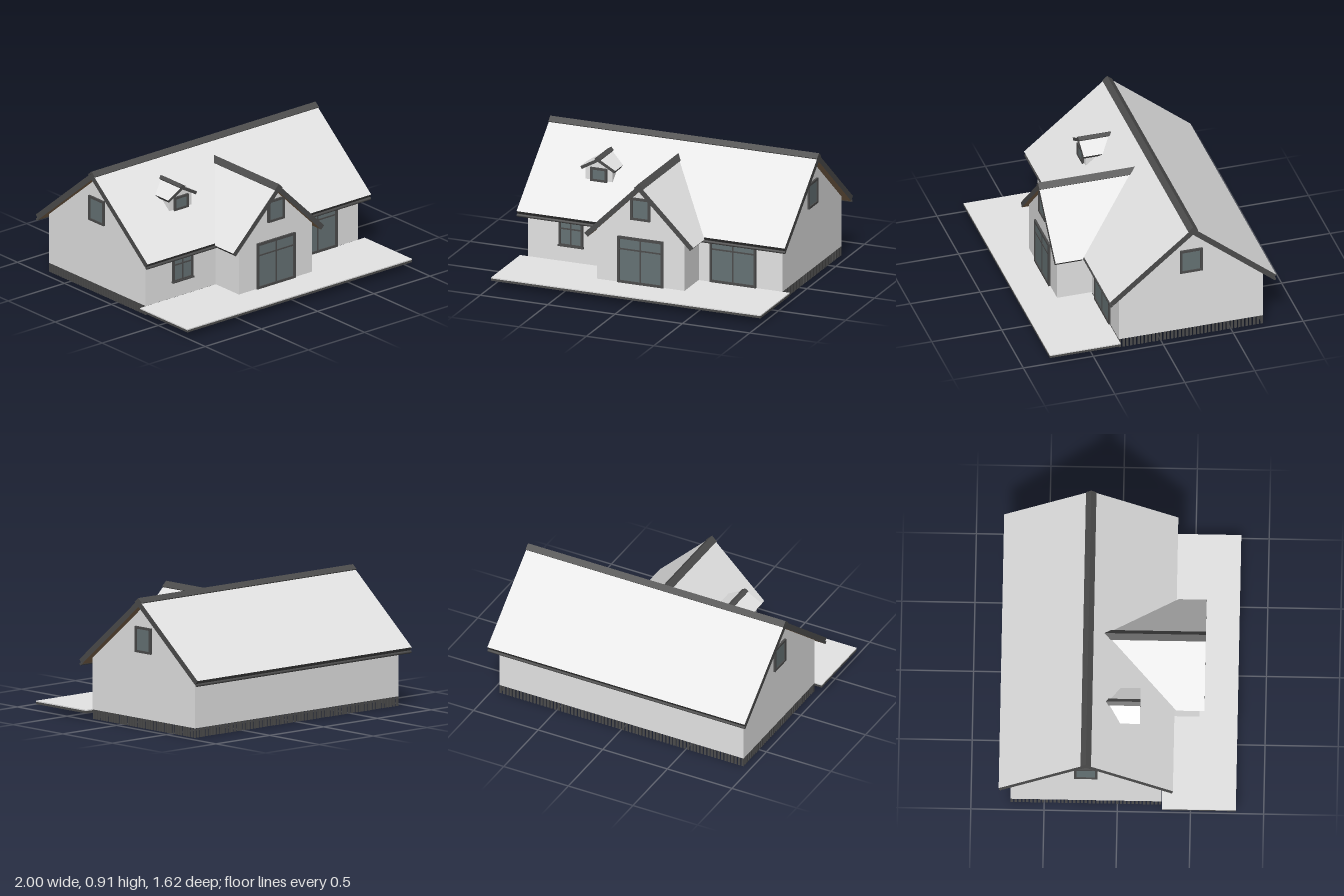
import * as THREE from 'three';
import { mergeGeometries } from 'three/addons/utils/BufferGeometryUtils.js';

const mat = (name, color) => Object.assign(new THREE.MeshStandardMaterial({ color }), { name });

export function createModel() {
  const white = mat('white render', 0xe4e4e4);
  const dark = mat('dark trim', 0x4c4c4c);
  const glass = mat('glass', 0x667375);
  const wood = mat('wood soffit', 0x8f7357);
  const house = new THREE.Group();
  house.name = 'house';

  const add = (parent, name, geo, material, x = 0, y = 0, z = 0) => {
    const m = new THREE.Mesh(geo, material);
    m.name = name;
    m.position.set(x, y, z);
    parent.add(m);
    return m;
  };
  const box = (parent, name, material, w, h, d, x, y, z) =>
    add(parent, name, new THREE.BoxGeometry(w, h, d), material, x, y, z);

  // Sloping slab: a quad given by its top corners, thickened along its normal.
  // Materials: top, edges, underside.
  function slab(name, corners, t, materials) {
    let p = corners.map(c => new THREE.Vector3(...c));
    const normalOf = q => q[1].clone().sub(q[0]).cross(q[2].clone().sub(q[0])).normalize();
    if (normalOf(p).y < 0) p = p.reverse();
    const n = normalOf(p);
    const b = p.map(v => v.clone().addScaledVector(n, -t));
    const faces = [[p[0], p[1], p[2], p[3]]];
    for (let i = 0; i < 4; i++) {
      const j = (i + 1) % 4;
      faces.push([p[i], b[i], b[j], p[j]]);
    }
    faces.push([b[3], b[2], b[1], b[0]]);
    const points = faces.flatMap(([a, c, d, e]) => [a, c, d, a, d, e]);
    const geo = new THREE.BufferGeometry().setFromPoints(points);
    geo.computeVertexNormals();
    geo.addGroup(0, 6, 0);
    geo.addGroup(6, 24, 1);
    geo.addGroup(30, 6, 2);
    return add(house, name, geo, materials);
  }
  const roofMats = [white, dark, wood];
  const capMats = [dark, dark, dark];

  // Main roof measurements
  const ridgeZ = -0.215, ridgeY = 0.9, run = 0.595, eaveY = 0.41;
  const slope = (ridgeY - eaveY) / run;
  const roofZ = y => ridgeZ + (ridgeY - y) / slope; // where the front slope reaches height y

  // Five-sided gable block, extruded along z
  function gableBlock(half, base, shoulder, apex, depth) {
    const s = new THREE.Shape();
    s.moveTo(-half, base);
    s.lineTo(half, base);
    s.lineTo(half, shoulder);
    s.lineTo(0, apex);
    s.lineTo(-half, shoulder);
    return new THREE.ExtrudeGeometry(s, { depth, bevelEnabled: false });
  }

  // Main walls
  const mainGeo = gableBlock(0.515, 0.066, 0.45, 0.874, 1.89);
  mainGeo.translate(0, 0, -0.945).rotateY(-Math.PI / 2);
  add(house, 'mainWalls', mainGeo, white, 0, 0, ridgeZ);

  // Main roof, ridge cap and gutters
  for (const s of [1, -1]) {
    const strip = (x, y, d, y2) => [
      [-x, y, ridgeZ], [x, y, ridgeZ], [x, y2, ridgeZ + s * d], [-x, y2, ridgeZ + s * d]];
    slab('mainRoof', strip(0.995, ridgeY, run, eaveY), 0.04, roofMats);
    slab('mainRidgeCap', strip(0.997, 0.91, 0.036, 0.91 - 0.036 * slope), 0.012, capMats);
    const gutter = new THREE.CylinderGeometry(0.01, 0.01, 1.99, 10);
    gutter.rotateZ(Math.PI / 2);
    add(house, 'gutter', gutter, dark, 0, 0.378, ridgeZ + s * 0.583);
  }

  // Cross gable roof running forward out of the main roof
  function crossRoof(name, x, top, half, low, front, t, capHalf) {
    const k = (top - low) / half;
    for (const s of [1, -1]) {
      const strip = (y, w) => [
        [x, y, roofZ(y)], [x, y, front],
        [x + s * w, y - k * w, front], [x + s * w, y - k * w, roofZ(y - k * w)]];
      slab(name + 'Roof', strip(top, half), t, roofMats);
      slab(name + 'RidgeCap', strip(top + 0.01, capHalf).map(([a, b, c]) =>
        [a, b, c === front ? c + 0.002 : c]), 0.011, capMats);
    }
  }

  // Front wing
  add(house, 'wingWalls', gableBlock(0.325, 0.06, 0.449, 0.77, 0.27), white, 0, 0, 0.28);
  crossRoof('wing', 0, 0.8, 0.405, 0.4, 0.585, 0.036, 0.036);

  // Dormer
  add(house, 'dormerWalls', gableBlock(0.1, 0.605, 0.716, 0.776, 0.176), white, -0.49, 0, -0.05);
  crossRoof('dormer', -0.49, 0.785, 0.13, 0.712, 0.148, 0.022, 0.025);

  // Window or door: frame ring, glass, centre bar and transom; faces +z
  function windowUnit(name, w, h, bar, transom = 0) {
    const g = new THREE.Group();
    g.name = name;
    const rect = (P, a, b) => new P().moveTo(-a, -b).lineTo(a, -b).lineTo(a, b).lineTo(-a, b).closePath();
    const s = rect(THREE.Shape, w / 2, h / 2);
    s.holes.push(rect(THREE.Path, w / 2 - bar, h / 2 - bar));
    add(g, 'frame', new THREE.ExtrudeGeometry(s, { depth: 0.014, bevelEnabled: false }), dark);
    box(g, 'pane', glass, w - bar, h - bar, 0.006, 0, 0, 0.003);
    if (transom) {
      box(g, 'centreBar', dark, 0.011, h - bar, 0.01, 0, 0, 0.006);
      box(g, 'transom', dark, w - bar, 0.01, 0.01, 0, h / 2 - transom, 0.006);
    }
    house.add(g);
    return g;
  }
  windowUnit('frontWindow', 0.18, 0.19, 0.015, 0.065).position.set(-0.622, 0.275, 0.3);
  box(house, 'windowSill', dark, 0.19, 0.01, 0.022, -0.622, 0.182, 0.309);
  windowUnit('patioDoor', 0.345, 0.305, 0.018, 0.065).position.set(0.58, 0.22, 0.3);
  windowUnit('wingDoor', 0.34, 0.335, 0.018, 0.09).position.set(0, 0.235, 0.55);
  windowUnit('wingWindow', 0.145, 0.16, 0.016).position.set(0, 0.612, 0.55);
  windowUnit('dormerWindow', 0.125, 0.098, 0.015).position.set(-0.49, 0.662, 0.126);
  for (const s of [1, -1]) {
    const w = windowUnit('gableWindow', 0.16, 0.18, 0.016);
    w.position.set(s * 0.945, 0.612, ridgeZ);
    w.rotation.y = s * Math.PI / 2;
  }

  // Deck: pale boards on a dark base
  box(house, 'deckTop', white, 2, 0.008, 0.505, 0, 0.064, 0.5575);
  box(house, 'deckBase', dark, 2, 0.016, 0.505, 0, 0.052, 0.5575);

  // Open slatted plinth round the main walls
  const slats = [];
  const slat = (w, d, x, z) => slats.push(new THREE.BoxGeometry(w, 0.066, d).translate(x, 0.033, z));
  const nx = 72, nz = 39;
  for (let i = 0; i < nx; i++) {
    const x = -0.936 + 1.872 * i / (nx - 1);
    slat(0.016, 0.008, x, 0.295);
    slat(0.016, 0.008, x, -0.725);
  }
  for (let i = 0; i < nz; i++) {
    const z = -0.721 + 1.012 * i / (nz - 1);
    slat(0.008, 0.016, 0.94, z);
    slat(0.008, 0.016, -0.94, z);
  }
  add(house, 'plinthSlats', mergeGeometries(slats), dark);

  return house;
}
